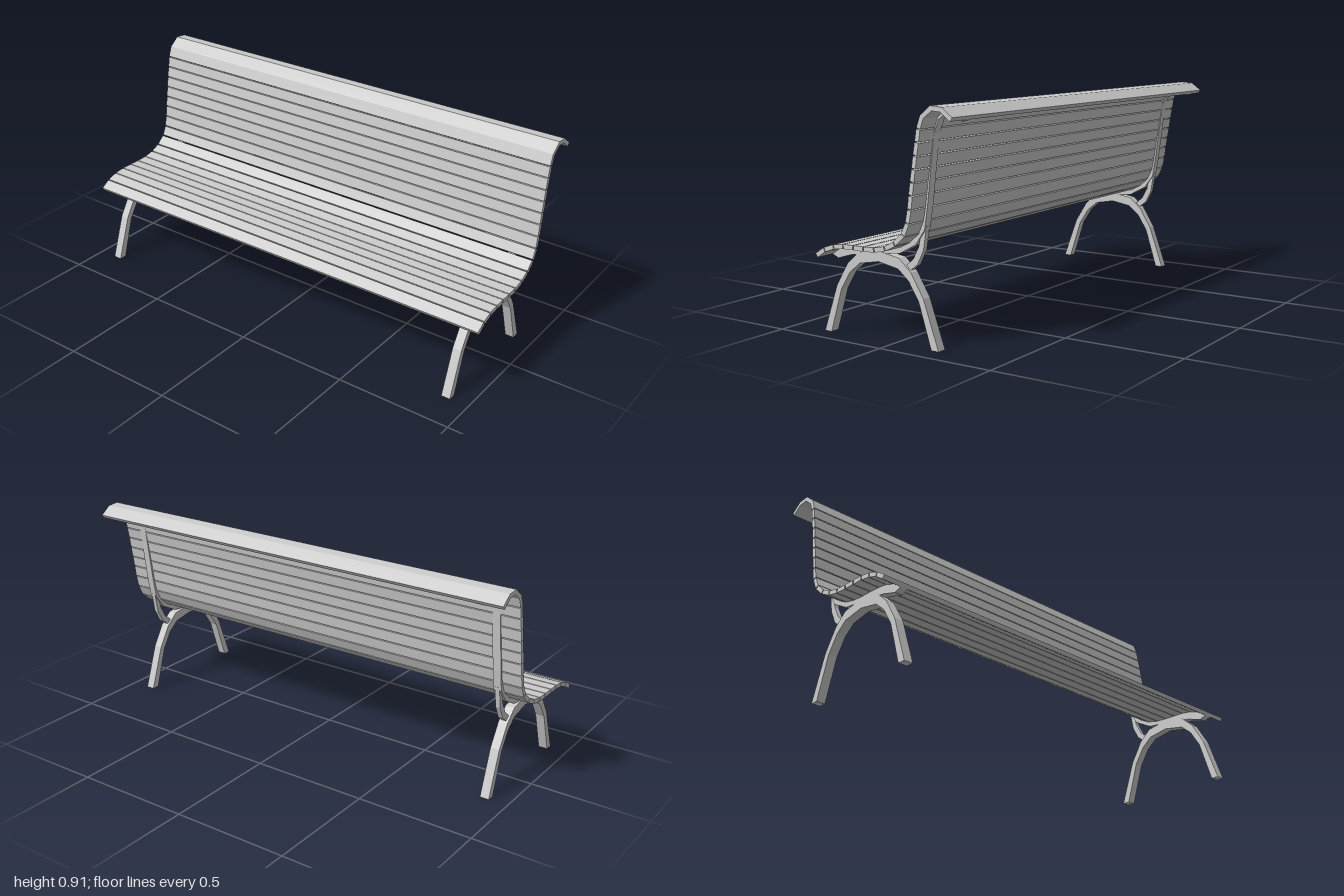
import * as THREE from 'three';

const material = new THREE.MeshStandardMaterial({ color: 0xcccccc, flatShading: true });

// Outer line of the slats, from the seat's front lip to the curled top of the back
const LINE = [
  [-0.31, 0.325], [-0.268, 0.352], [-0.22, 0.368], [-0.171, 0.374], [-0.12, 0.375],
  [-0.071, 0.375], [-0.02, 0.377], [0.029, 0.387], [0.072, 0.408], [0.111, 0.442],
  [0.131, 0.485], [0.141, 0.534], [0.148, 0.585], [0.155, 0.633], [0.163, 0.681],
  [0.17, 0.729], [0.179, 0.778], [0.187, 0.826], [0.204, 0.872], [0.25, 0.908],
  [0.3, 0.904], [0.346, 0.87],
].map(([x, y]) => new THREE.Vector2(x, y));
const SLAT_THICKNESS = 0.018;

// Offsets a polyline to its right with mitred corners
function offset(points, d) {
  const normal = (a, b) => new THREE.Vector2(b.y - a.y, a.x - b.x).normalize();
  return points.map((p, i) => {
    const n1 = normal(points[Math.max(i - 1, 0)], points[Math.max(i, 1)]);
    const last = points.length - 1;
    const n2 = normal(points[Math.min(i, last - 1)], points[Math.min(i + 1, last)]);
    const m = n1.clone().add(n2).normalize();
    return p.clone().addScaledVector(m, d / m.dot(n1));
  });
}

// Flat profile extruded along z, centred on the given z
function prism(name, outline, width, z = 0) {
  const geometry = new THREE.ExtrudeGeometry(new THREE.Shape(outline), {
    depth: width, bevelEnabled: false,
  });
  geometry.translate(0, 0, z - width / 2);
  const mesh = new THREE.Mesh(geometry, material);
  mesh.name = name;
  return mesh;
}

const vectors = (list) => list.map(([x, y]) => new THREE.Vector2(x, y));

export function createModel() {
  const bench = new THREE.Group();
  bench.name = 'bench';
  const inner = offset(LINE, SLAT_THICKNESS);

  // Slats: small gaps everywhere but in the curled top rail
  const slats = new THREE.Group();
  slats.name = 'slats';
  for (let i = 0; i < LINE.length - 1; i++) {
    const seatSlat = i < 10;
    const startGap = i === 0 || i > 17 ? 0 : 0.045;
    const endGap = i > 16 ? 0 : 0.045;
    const at = (line, t) => line[i].clone().lerp(line[i + 1], t);
    slats.add(prism(seatSlat ? 'seatSlat' : i < 18 ? 'backSlat' : 'topRailSlat', [
      at(LINE, startGap), at(inner, startGap), at(inner, 1 - endGap), at(LINE, 1 - endGap),
    ], 2));
  }
  bench.add(slats);

  // Curved rail under the slats, from the seat up to the curled top
  const railLower = vectors([
    [-0.271, 0.297], [-0.2, 0.318], [-0.117, 0.331], [0.033, 0.347], [0.11, 0.388],
    [0.153, 0.448], [0.168, 0.537], [0.18, 0.634], [0.201, 0.8], [0.223, 0.853],
    [0.254, 0.877], [0.295, 0.872], [0.324, 0.85],
  ]);
  const railOutline = [...railLower, ...inner.slice().reverse()];

  // Arched legs: half profiles as [distance from arch centre, height]
  const archCentre = -0.067;
  const outerHalf = [[0.28, 0], [0.212, 0.19], [0.155, 0.282], [0.1, 0.33]];
  const innerHalf = [[0.246, 0], [0.19, 0.176], [0.144, 0.248], [0.094, 0.289]];
  const arch = (half, top) => vectors([
    ...half.map(([d, y]) => [archCentre - d, y]),
    [archCentre, top],
    ...half.slice().reverse().map(([d, y]) => [archCentre + d, y]),
  ]);
  const archOutline = [...arch(outerHalf, 0.347), ...arch(innerHalf, 0.306).reverse()];

  // Thin brace joining the rear leg to the back
  const braceOutline = vectors([
    [0.081, 0.289], [0.112, 0.313], [0.141, 0.369], [0.156, 0.46],
    [0.138, 0.46], [0.119, 0.381], [0.093, 0.333], [0.059, 0.304],
  ]);

  for (const z of [-0.9, 0.9]) {
    const support = new THREE.Group();
    support.name = z > 0 ? 'leftSupport' : 'rightSupport';
    support.add(
      prism('curvedRail', railOutline, 0.034, z),
      prism('archedLegs', archOutline, 0.039, z),
      prism('brace', braceOutline, 0.02, z),
    );
    bench.add(support);
  }
  return bench;
}
